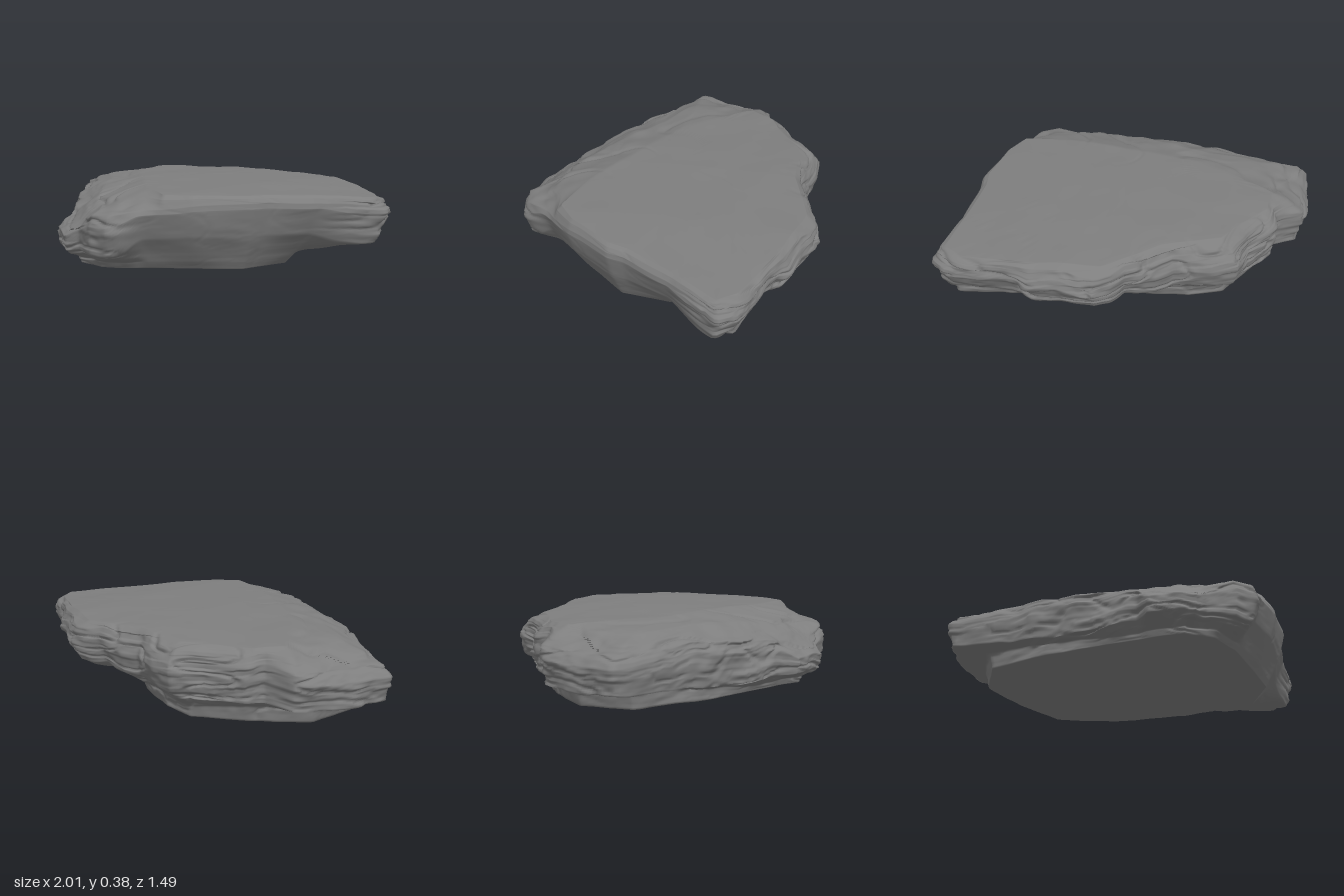
import * as THREE from 'three';

// Widest outline of the slab: x, z, height of its lower edge, height of its upper edge
const OUTLINE = [
  [-1, -0.02, 0.11, 0.275], [-0.88, -0.26, 0.1, 0.28], [-0.78, -0.42, 0.1, 0.28], [-0.63, -0.44, 0.11, 0.29],
  [-0.6, -0.52, 0.12, 0.29], [-0.42, -0.6, 0.14, 0.28], [-0.32, -0.71, 0.15, 0.28], [-0.2, -0.7, 0.16, 0.29],
  [-0.04, -0.65, 0.16, 0.3], [0.05, -0.67, 0.16, 0.3], [0.2, -0.68, 0.17, 0.3], [0.28, -0.73, 0.17, 0.28],
  [0.36, -0.74, 0.17, 0.28], [0.5, -0.66, 0.17, 0.31], [0.62, -0.61, 0.17, 0.31], [0.7, -0.53, 0.15, 0.32],
  [0.95, -0.42, 0.14, 0.315], [1, -0.33, 0.14, 0.315], [0.84, -0.1, 0.12, 0.33], [0.72, 0.12, 0.12, 0.34],
  [0.7, 0.2, 0.12, 0.34], [0.55, 0.42, 0.12, 0.33], [0.4, 0.57, 0.11, 0.31], [0.3, 0.7, 0.1, 0.29],
  [0.2, 0.73, 0.1, 0.28], [0.07, 0.7, 0.1, 0.23], [0, 0.74, 0.1, 0.2], [-0.2, 0.65, 0.09, 0.2],
  [-0.22, 0.57, 0.08, 0.25], [-0.4, 0.42, 0.08, 0.28], [-0.62, 0.25, 0.08, 0.29], [-0.7, 0.18, 0.09, 0.28],
  [-0.9, 0.05, 0.1, 0.27],
];

// Rim of the smooth top face and rim of the flat underside
const TOP = [
  [-0.66, -0.33], [-0.58, -0.45], [-0.4, -0.53], [-0.28, -0.61], [0, -0.6], [0.3, -0.67], [0.6, -0.56],
  [0.88, -0.41], [0.94, -0.32], [0.79, -0.08], [0.69, 0.1], [0.66, 0.2], [0.52, 0.4], [0.42, 0.48],
  [0.18, 0.39], [-0.1, 0.21], [-0.4, 0.02],
];
const BOTTOM = [
  [-0.77, 0], [-0.75, -0.25], [-0.57, -0.43], [-0.32, -0.59], [-0.15, -0.58], [0.1, -0.49], [0.35, -0.33],
  [0.63, -0.08], [0.6, 0.16], [0.42, 0.36], [0.27, 0.52], [0.13, 0.62], [-0.02, 0.63], [-0.2, 0.5], [-0.55, 0.23],
];

const { lerp, smoothstep } = THREE.MathUtils;

// Farthest hit of a ray from the centre with a closed outline; extra columns are interpolated
function hit(points, angle) {
  const dx = Math.cos(angle), dz = Math.sin(angle);
  let best = [0, 0, 0];
  points.forEach((a, i) => {
    const b = points[(i + 1) % points.length];
    const ca = dx * a[1] - dz * a[0], cb = dx * b[1] - dz * b[0];
    if (ca * cb > 0 || ca === cb) return;
    const t = ca / (ca - cb);
    const r = lerp(a[0], b[0], t) * dx + lerp(a[1], b[1], t) * dz;
    if (r > best[0]) best = [r, lerp(a[2] ?? 0, b[2] ?? 0, t), lerp(a[3] ?? 0, b[3] ?? 0, t)];
  });
  return best;
}

// Smooth value noise from -1 to 1
function hash(x, y, z) {
  let h = Math.imul(x, 374761393) ^ Math.imul(y, 668265263) ^ Math.imul(z, 1274126177);
  h = Math.imul(h ^ (h >>> 13), 1103515245);
  return ((h ^ (h >>> 16)) >>> 0) / 2147483648 - 1;
}
function noise(x, y, z) {
  const ix = Math.floor(x), iy = Math.floor(y), iz = Math.floor(z);
  const u = smoothstep(x - ix, 0, 1), v = smoothstep(y - iy, 0, 1), w = smoothstep(z - iz, 0, 1);
  const edge = (j, k) => lerp(hash(ix, iy + j, iz + k), hash(ix + 1, iy + j, iz + k), u);
  return lerp(lerp(edge(0, 0), edge(1, 0), v), lerp(edge(0, 1), edge(1, 1), v), w);
}

// Heights of the gently crowned top face and of the slightly tilted underside
const topHeight = (x, z) => 0.385 - 0.035 * Math.max(0, -x) - 0.06 * Math.max(0, x - 0.45) - 0.035 * z * z;
const bottomHeight = (x) => 0.018 + 0.012 * x;

function slabGeometry() {
  const AROUND = 400;
  const STEPS = [12, 8, 16, 16, 10, 16, 14, 20]; // rows in each band, underside to top
  const LAST = STEPS.length - 1;
  const positions = [], index = [];
  let rows = 0;

  for (let s = 0; s < AROUND; s++) {
    const angle = (s / AROUND) * Math.PI * 2 - Math.PI, c = Math.cos(angle), n = Math.sin(angle);
    const [ro, lo, hi] = hit(OUTLINE, angle);
    const rt = Math.min(hit(TOP, angle)[0], ro - 0.02), rb = Math.min(hit(BOTTOM, angle)[0], ro - 0.02);
    const rim = topHeight(rt * c, rt * n), base = bottomHeight(rb * c);
    // The front left side of the block is one clean slanting break, the other sides are layered
    const clean = smoothstep(angle, -0.3, -0.1) * (1 - smoothstep(angle, 0.98, 1.15));
    const broken = 1 - 0.9 * clean, lumpy = 1 - 0.35 * clean;
    // The overhang is steeper towards -x
    const step = lerp(0.42, 0.8, smoothstep(-c, 0.5, 0.9));
    // Section from the centre below, round the side, to the centre on top; last value is roughness
    const section = [
      [0, bottomHeight(0), 0], [rb, base, 0.25],
      [lerp(rb, ro, lerp(0.1, 0.18, clean)), lerp(base, lerp(lo, hi, 0.25 * clean), lerp(step, 0.25, clean)), 0.7],
      [lerp(rb, ro, lerp(0.88, 0.7, clean)), lerp(lo, lerp(base, hi, 0.52), clean), 1],
      [ro, lerp(lo, hi, lerp(0.7, 0.88, clean)), 1], [lerp(ro, rt, 0.09), hi, 1],
      [lerp(ro, rt, 0.5), lerp(hi, rim, 0.66), 1], [rt, rim, 0.2], [0, topHeight(0, 0), 0],
    ];
    rows = 0;
    STEPS.forEach((count, b) => {
      for (let k = 0; k < count + (b === LAST ? 1 : 0); k++) {
        const t = k / count, p = section[b], q = section[b + 1];
        let r = lerp(p[0], q[0], t), y = lerp(p[1], q[1], t);
        const x = r * c, z = r * n, rough = lerp(p[2], q[2], t);
        if (b === LAST) y = topHeight(x, z);
        // Broken layers: sharp-edged beds, broad lumps and narrow cracks
        const lumps = noise(x * 6, y * 9 + 3, z * 6);
        const beds = noise(x * 5 + 7, Math.floor(y * 36 + 1.5 * noise(x * 3, 2, z * 3)), z * 5);
        const crack = Math.max(0, 1 - 9 * Math.abs(noise(x * 4.5, y * 18 + 5, z * 4.5 + 9)));
        const chips = noise(x * 22, y * 40, z * 22);
        const push = broken * (0.01 + 0.01 * beds - 0.014 * crack + 0.005 * chips) + lumpy * 0.012 * lumps;
        r += rough * push * smoothstep(r, 0, 0.3);
        y += rough * broken * (0.009 * noise(x * 11, 4, z * 11) - (b > 4 ? 0.012 * crack : 0));
        y += 0.003 * noise(x * 6 + 2, b > 3 ? 8 : 1, z * 6) * smoothstep(r, 0, 0.2);
        positions.push(r * c, y, r * n);
        rows++;
      }
    });
  }

  for (let s = 0; s < AROUND; s++) {
    const here = s * rows, next = ((s + 1) % AROUND) * rows;
    for (let k = 0; k < rows - 1; k++) {
      index.push(here + k, here + k + 1, next + k, next + k, here + k + 1, next + k + 1);
    }
  }

  const geometry = new THREE.BufferGeometry();
  geometry.setAttribute('position', new THREE.Float32BufferAttribute(positions, 3));
  geometry.setIndex(index);

  // Centre it and rest it on the ground
  geometry.computeBoundingBox();
  const box = geometry.boundingBox, mid = box.getCenter(new THREE.Vector3());
  geometry.translate(-mid.x, -box.min.y, -mid.z);
  geometry.computeVertexNormals();
  return geometry;
}

export function createModel() {
  const group = new THREE.Group();
  group.name = 'rock';
  const slab = new THREE.Mesh(slabGeometry(), new THREE.MeshStandardMaterial({ color: 0x7e7e7e }));
  slab.name = 'rockSlab';
  group.add(slab);
  return group;
}
